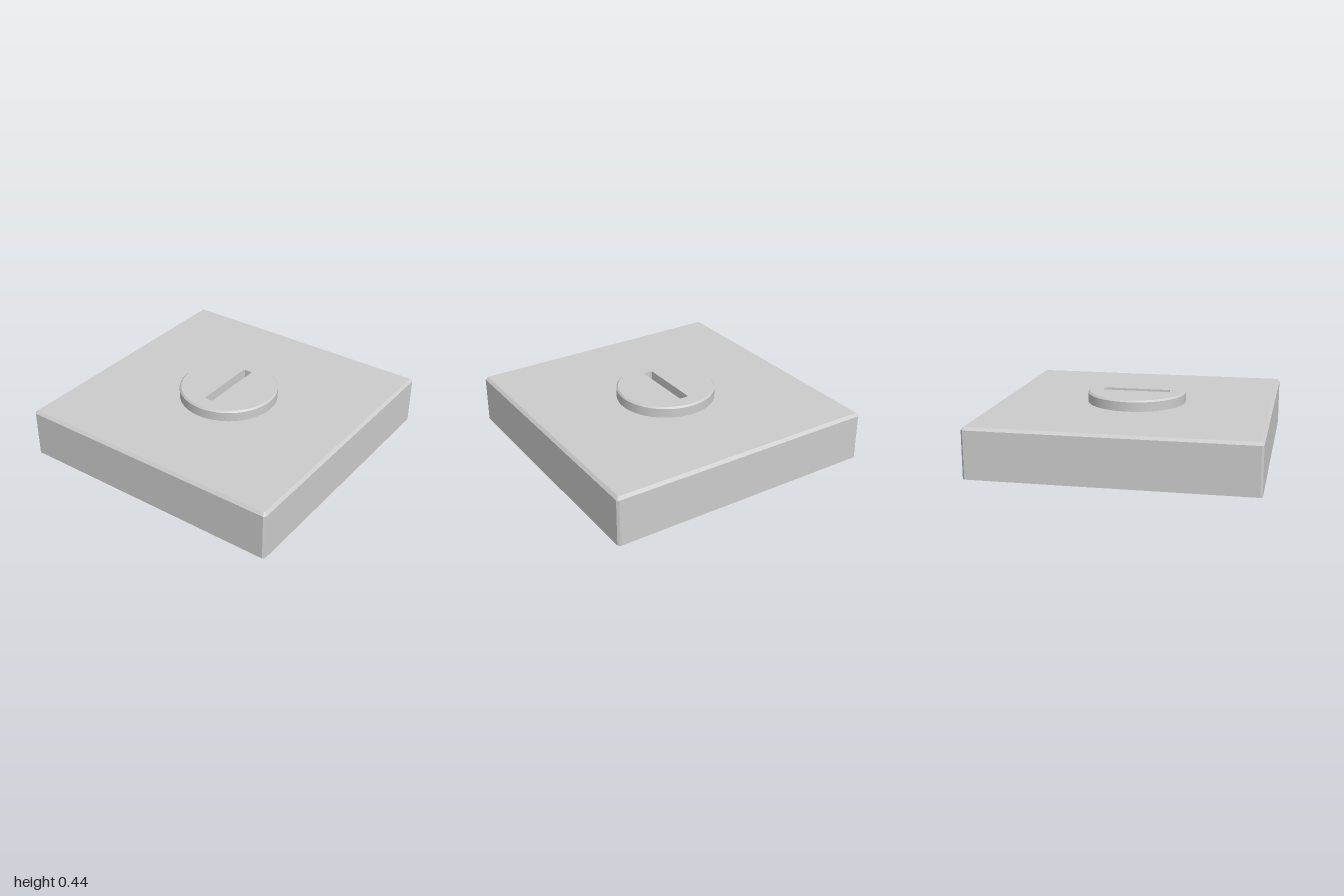
import * as THREE from 'three';
import { mergeGeometries, toCreasedNormals } from 'three/addons/utils/BufferGeometryUtils.js';

const CREASE = Math.PI / 7;

// Outlines, counter-clockwise when seen from above
const circle = (r, n = 96) => Array.from({ length: n }, (_, i) => {
  const a = (i / n) * Math.PI * 2;
  return new THREE.Vector2(r * Math.cos(a), r * Math.sin(a));
});
const square = (h) => [[h, -h], [h, h], [-h, h], [-h, -h]].map(([x, y]) => new THREE.Vector2(x, y));
const cutRect = (w, d, c) => [
  [w, c - d], [w, d - c], [w - c, d], [c - w, d],
  [-w, d - c], [-w, c - d], [c - w, -d], [w - c, -d],
].map(([x, y]) => new THREE.Vector2(x, y));

// Wall through stacked outlines: rising faces outward, falling faces inward
function loft(levels) {
  const pos = [];
  for (let k = 0; k + 1 < levels.length; k++) {
    const [y0, lower] = levels[k], [y1, upper] = levels[k + 1];
    for (let i = 0; i < lower.length; i++) {
      const j = (i + 1) % lower.length;
      const a = [lower[i].x, y0, -lower[i].y], b = [lower[j].x, y0, -lower[j].y];
      const c = [upper[j].x, y1, -upper[j].y], d = [upper[i].x, y1, -upper[i].y];
      pos.push(...a, ...b, ...c, ...a, ...c, ...d);
    }
  }
  const g = new THREE.BufferGeometry();
  g.setAttribute('position', new THREE.Float32BufferAttribute(pos, 3));
  return g;
}

// Flat horizontal face with an optional hole, facing up or down
function cap(y, outline, hole, facing = 1) {
  const shape = new THREE.Shape(outline);
  if (hole) shape.holes.push(new THREE.Path(hole));
  const g = new THREE.ShapeGeometry(shape).toNonIndexed();
  g.rotateX(-facing * Math.PI / 2).translate(0, y, 0);
  g.deleteAttribute('uv');
  g.deleteAttribute('normal');
  return g;
}

function part(name, pieces, material) {
  const mesh = new THREE.Mesh(toCreasedNormals(mergeGeometries(pieces), CREASE), material);
  mesh.name = name;
  return mesh;
}

export function createModel() {
  const group = new THREE.Group();
  group.name = 'slottedBlock';
  const material = new THREE.MeshStandardMaterial({ color: 0xcccccc });

  const outer = cutRect(1, 1, 0.015);
  const topEdge = cutRect(0.98, 0.98, 0.004);
  const cavity = square(0.93);
  const recess = circle(0.3);
  const stud = circle(0.36);
  const studTop = circle(0.348);
  const slot = cutRect(0.245, 0.035, 0.008);

  // Square block with a chamfered top edge
  group.add(part('block', [
    loft([[0, outer], [0.34, outer], [0.36, topEdge]]),
    cap(0.36, topEdge, stud),
  ], material));

  // Hollow underside: rim, shallow cavity and round socket
  group.add(part('underside', [
    cap(0, outer, cavity, -1),
    loft([[0.12, cavity], [0, cavity]]),
    cap(0.12, cavity, recess, -1),
    loft([[0.2, recess], [0.12, recess]]),
    cap(0.2, recess, null, -1),
  ], material));

  // Round stud with a blind slot
  group.add(part('stud', [
    loft([[0.36, stud], [0.428, stud], [0.44, studTop]]),
    cap(0.44, studTop, slot),
    loft([[0.37, slot], [0.44, slot]].reverse().map(([y, o]) => [0.81 - y, o]).reverse()),
    cap(0.37, slot),
  ], material));

  return group;
}
